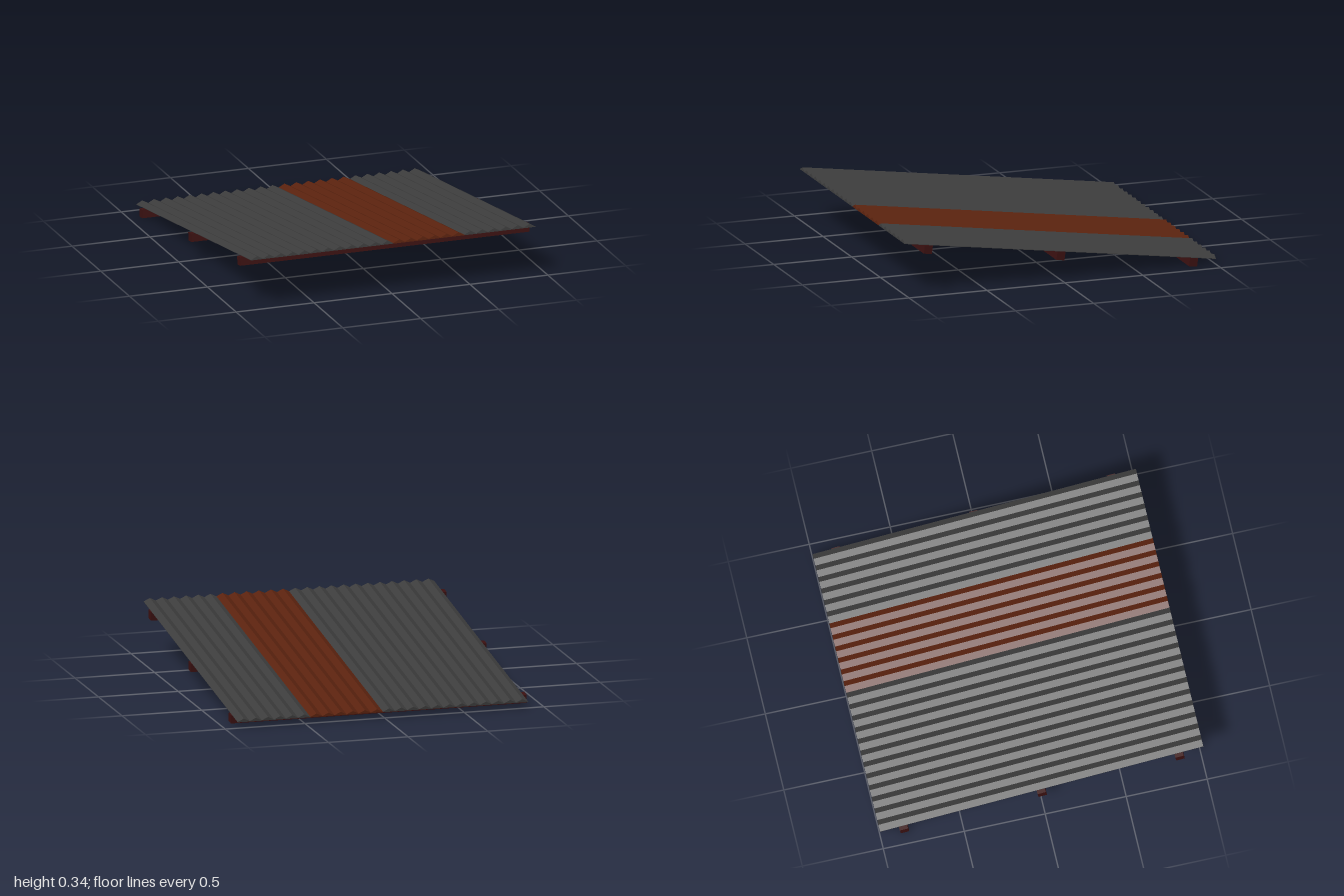
import * as THREE from 'three';

const PITCH = 0.076;      // width of one corrugation
const LEFT_EDGE = -0.903; // where the first corrugation starts
const LENGTH = 2.016;     // sheet length along the slope
const LIP = 0.003;        // sheet thickness in the valleys
const CREST = 0.022;      // height of the ridges
const BEAM = 0.052;       // square beam section

// Corrugated strip: zigzag on top, flat underneath
function corrugatedStrip(first, count, material, name) {
  const x0 = LEFT_EDGE + first * PITCH;
  const shape = new THREE.Shape();
  shape.moveTo(x0, 0);
  shape.lineTo(x0 + count * PITCH, 0);
  for (let i = count; i > 0; i--) {
    shape.lineTo(x0 + i * PITCH, LIP);
    shape.lineTo(x0 + (i - 0.5) * PITCH, CREST);
  }
  shape.lineTo(x0, LIP);
  const geometry = new THREE.ExtrudeGeometry(shape, { depth: LENGTH, bevelEnabled: false });
  geometry.translate(0, 0, -LENGTH / 2);
  const mesh = new THREE.Mesh(geometry, material);
  mesh.name = name;
  return mesh;
}

export function createModel() {
  const slate = new THREE.MeshStandardMaterial({ color: 0x3c3c3c });
  slate.name = 'dark grey sheet';
  const rust = new THREE.MeshStandardMaterial({ color: 0x5a220e });
  rust.name = 'rust sheet';
  const wood = new THREE.MeshStandardMaterial({ color: 0x3a1010 });
  wood.name = 'dark red wood';

  const model = new THREE.Group();
  model.name = 'corrugatedRoof';

  // Everything lies on one slope, rising toward the front
  const slope = new THREE.Group();
  slope.name = 'slopedRoof';
  slope.position.set(0, 0.176, 0.001);
  slope.rotation.x = -THREE.MathUtils.degToRad(8);
  model.add(slope);

  // Roof sheets
  slope.add(
    corrugatedStrip(0, 12, slate, 'rightSheet'),
    corrugatedStrip(12, 6, rust, 'rustSheet'),
    corrugatedStrip(18, 6, slate, 'leftSheet'),
  );

  // Support beams under the sheets
  const beamGeometry = new THREE.BoxGeometry(1.855, BEAM, BEAM);
  [['backBeam', -0.865], ['middleBeam', -0.006], ['frontBeam', 0.853]].forEach(([name, z]) => {
    const beam = new THREE.Mesh(beamGeometry, wood);
    beam.name = name;
    beam.position.set(0, -BEAM / 2, z);
    slope.add(beam);
  });

  return model;
}
